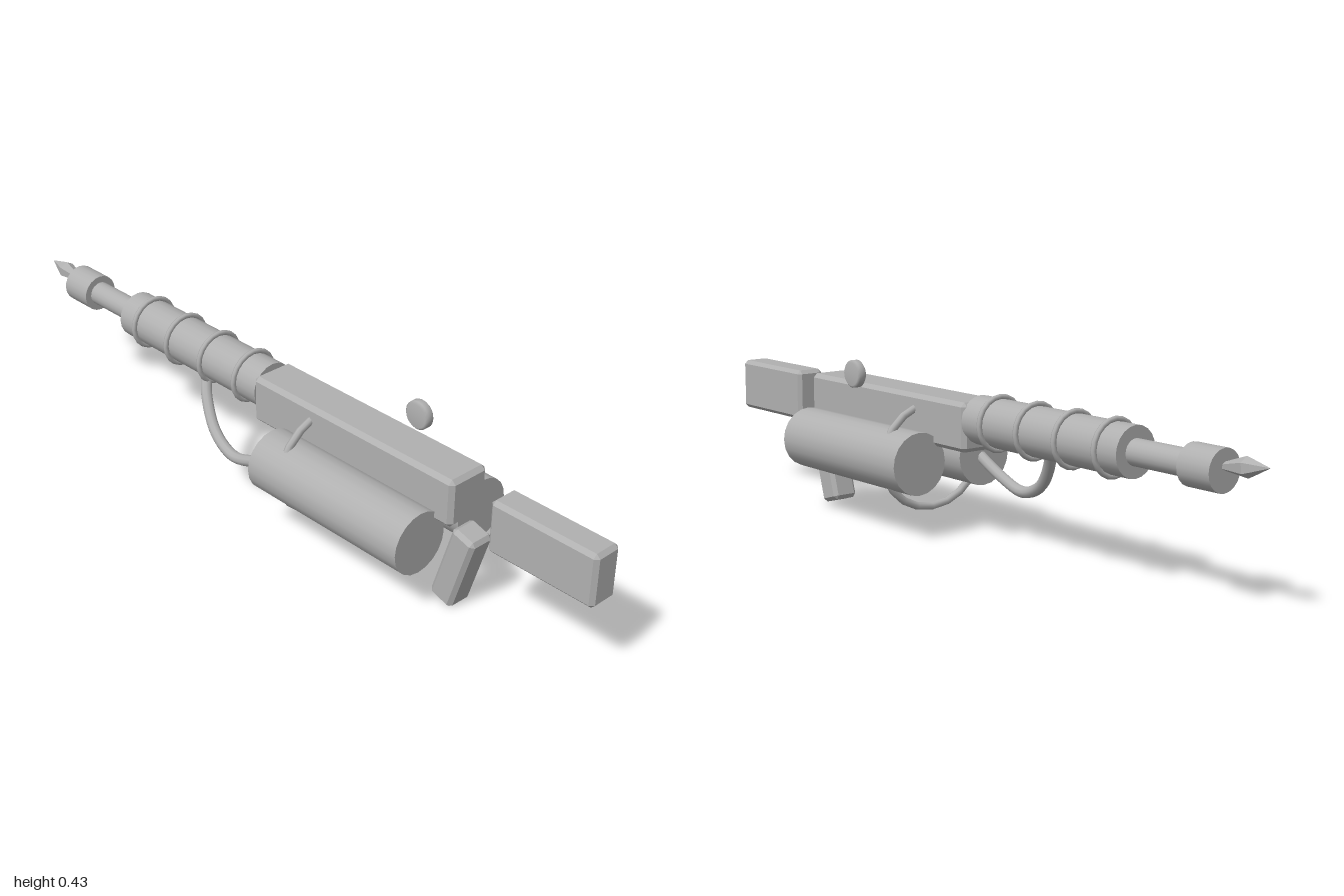
import * as THREE from 'three';
import { ConvexGeometry } from 'three/addons/geometries/ConvexGeometry.js';

export function createModel() {
  const group = new THREE.Group();
  const metal = new THREE.MeshStandardMaterial({ color: 0xb0b0b0 });
  metal.name = 'grey metal';
  const AXIS_Y = 0.319; // height of the barrel axis

  function add(name, geometry, x = 0, y = 0, z = 0) {
    const mesh = new THREE.Mesh(geometry, metal);
    mesh.name = name;
    mesh.position.set(x, y, z);
    group.add(mesh);
    return mesh;
  }

  // Box with a flat chamfer on every edge
  function chamferBox(w, h, d, c) {
    const points = [];
    for (const sx of [-1, 1]) for (const sy of [-1, 1]) for (const sz of [-1, 1]) {
      for (let axis = 0; axis < 3; axis++) {
        const inset = [c, c, c];
        inset[axis] = 0;
        points.push(new THREE.Vector3(
          sx * (w / 2 - inset[0]), sy * (h / 2 - inset[1]), sz * (d / 2 - inset[2])));
      }
    }
    return new ConvexGeometry(points);
  }

  // Cylinder lying along z between two z values
  function rod(name, radius, z0, z1, x = 0, y = AXIS_Y) {
    const geometry = new THREE.CylinderGeometry(radius, radius, Math.abs(z1 - z0), 20);
    geometry.rotateX(-Math.PI / 2);
    return add(name, geometry, x, y, (z0 + z1) / 2);
  }

  // Stock, receiver and slanted grip
  add('stock', chamferBox(0.08, 0.14, 0.3, 0.01), 0, 0.289, 0.85);
  add('receiver', chamferBox(0.12, 0.126, 0.673, 0.011), 0, 0.303, 0.27);
  add('grip', chamferBox(0.073, 0.22, 0.07, 0.01), 0, 0.113, 0.594).rotation.x = 0.29;

  // Barrel sections and nozzle
  rod('barrelShroud', 0.062, -0.06, -0.607);
  rod('innerBarrel', 0.032, -0.6, -0.79);
  rod('nozzle', 0.05, -0.78, -0.874);

  // Cooling rings
  for (let i = 0; i < 4; i++) {
    add('coolingRing', new THREE.TorusGeometry(0.067, 0.007, 8, 20), 0, AXIS_Y, -0.135 * (i + 1));
  }

  // Pilot tip: a small faceted spindle, tilted up slightly
  const tipProfile = [[0, -0.066], [0.009, -0.062], [0.024, 0.005], [0.018, 0.022], [0, 0.068]]
    .map(([r, h]) => new THREE.Vector2(r, h));
  const tipGeometry = new THREE.LatheGeometry(tipProfile, 6).toNonIndexed();
  tipGeometry.computeVertexNormals();
  add('pilotTip', tipGeometry, 0, 0.336, -0.932).rotation.x = -Math.PI / 2 + 0.12;

  // Twin tanks and the strap around them
  for (const side of [-1, 1]) rod('tank', 0.081, 0.557, 0.055, side * 0.105, 0.2);
  const strap = add('tankStrap', new THREE.TorusGeometry(0.137, 0.01, 8, 20), 0, 0.2, 0.14);
  strap.scale.x = 1.13;

  // Hose from the right tank to the barrel
  const hosePath = new THREE.CatmullRomCurve3([
    [-0.1, 0.205, 0.08], [-0.1, 0.155, -0.02], [-0.095, 0.13, -0.11],
    [-0.08, 0.16, -0.195], [-0.052, 0.23, -0.26], [-0.03, 0.275, -0.285],
  ].map((p) => new THREE.Vector3(...p)));
  add('hose', new THREE.TubeGeometry(hosePath, 28, 0.015, 10));

  // Sight disc with chamfered rims, on the left above the receiver
  const discProfile = [[0, -0.0135], [0.031, -0.0135], [0.037, -0.008], [0.037, 0.008], [0.031, 0.0135], [0, 0.0135]]
    .map(([r, h]) => new THREE.Vector2(r, h));
  const disc = add('sightDisc', new THREE.LatheGeometry(discProfile, 20), 0.076, 0.392, 0.374);
  disc.rotation.z = -Math.PI / 2;

  return group;
}
